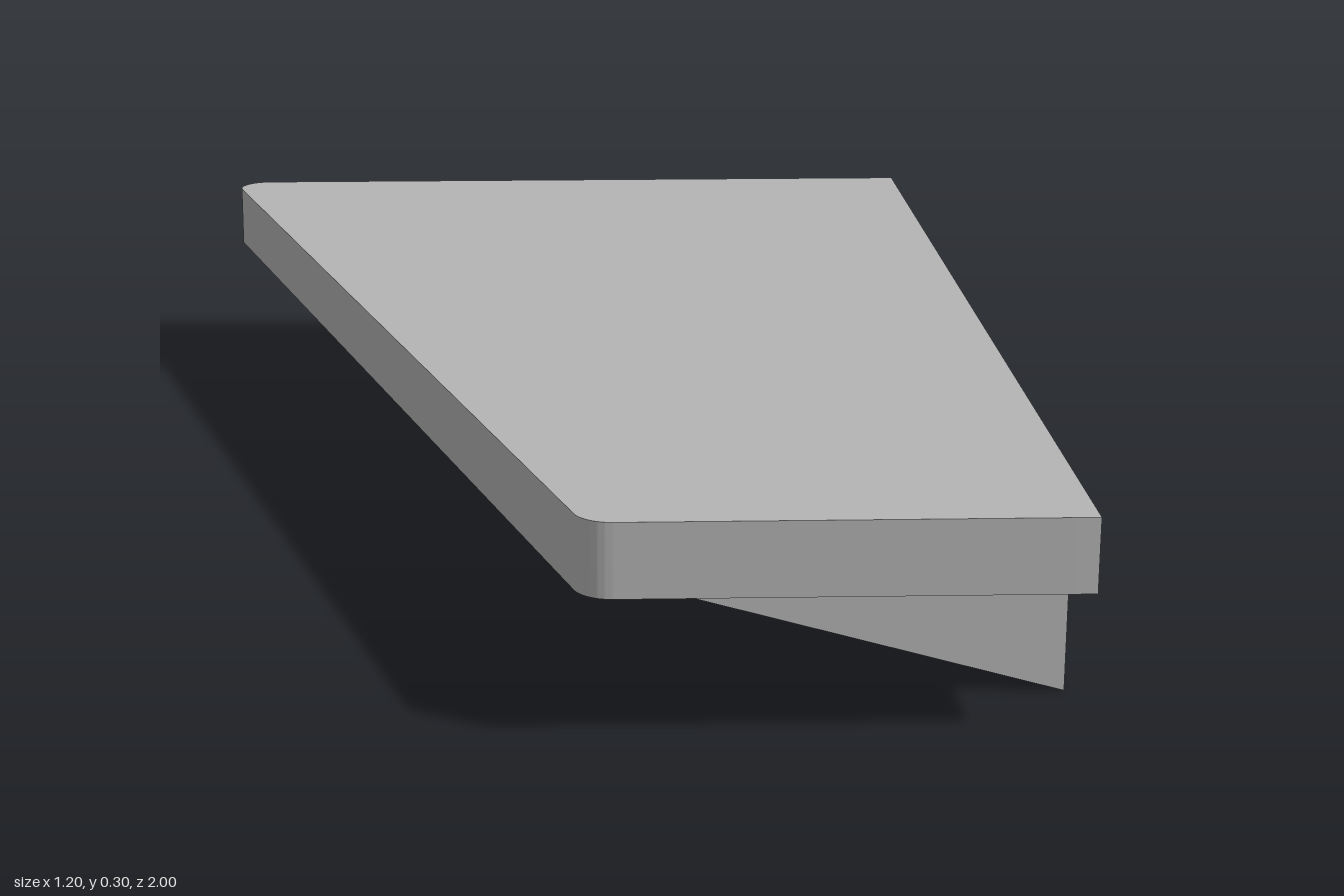
import * as THREE from 'three';
import { toCreasedNormals } from 'three/addons/utils/BufferGeometryUtils.js';

const EDGE_X = 0.6, SLAB_BOTTOM = 0.2, SLAB_DEPTH = 0.1;

function extrude(shape, depth) {
  const geo = new THREE.ExtrudeGeometry(shape, { depth, bevelEnabled: false, curveSegments: 10 });
  return toCreasedNormals(geo, 0.6);
}

// Tapered board outline with two rounded corners on the slanted edge
function slabGeometry() {
  const slant = Math.atan2(0.55, 1.9);
  const shape = new THREE.Shape();
  shape.moveTo(EDGE_X, -1);
  shape.lineTo(EDGE_X, 1);
  shape.absarc(-0.55, 0.95, 0.05, Math.PI / 2, Math.PI + slant, false);
  shape.absarc(0, -0.95, 0.05, Math.PI + slant, Math.PI * 1.5, false);
  shape.closePath();
  return extrude(shape, SLAB_DEPTH).rotateX(-Math.PI / 2).translate(0, SLAB_BOTTOM, 0);
}

// Hollow wedge with a rounded tip, open at the wall end and against the board
function bracketGeometry(width) {
  const shape = new THREE.Shape();
  shape.moveTo(EDGE_X, 0);
  shape.lineTo(EDGE_X, SLAB_BOTTOM);
  shape.absarc(0.02, 0.18, 0.02, Math.PI / 2, Math.PI * 1.5 - 0.268, false);
  shape.closePath();
  const solid = extrude(shape, width).translate(0, 0, -width / 2);
  const pos = solid.attributes.position, nor = solid.attributes.normal;
  const points = [], normals = [];
  for (let i = 0; i < pos.count; i += 3) {
    const corners = [i, i + 1, i + 2];
    const atWall = corners.every(k => Math.abs(pos.getX(k) - EDGE_X) < 1e-4);
    const atBoard = corners.every(k => Math.abs(pos.getY(k) - SLAB_BOTTOM) < 1e-4);
    if (atWall || atBoard) continue;
    for (const k of corners) {
      points.push(pos.getX(k), pos.getY(k), pos.getZ(k));
      normals.push(nor.getX(k), nor.getY(k), nor.getZ(k));
    }
  }
  const geo = new THREE.BufferGeometry();
  geo.setAttribute('position', new THREE.Float32BufferAttribute(points, 3));
  geo.setAttribute('normal', new THREE.Float32BufferAttribute(normals, 3));
  return geo;
}

export function createModel() {
  const group = new THREE.Group();
  group.name = 'wallShelf';
  const grey = new THREE.MeshStandardMaterial({ color: 0xb4b4b4, side: THREE.DoubleSide });
  grey.name = 'grey';

  const slab = new THREE.Mesh(slabGeometry(), grey);
  slab.name = 'shelfBoard';
  group.add(slab);

  // Two supports under the board
  const wedge = bracketGeometry(0.084);
  for (const [name, z] of [['frontBracket', 0.776], ['backBracket', -0.812]]) {
    const bracket = new THREE.Mesh(wedge, grey);
    bracket.name = name;
    bracket.position.z = z;
    group.add(bracket);
  }
  return group;
}
